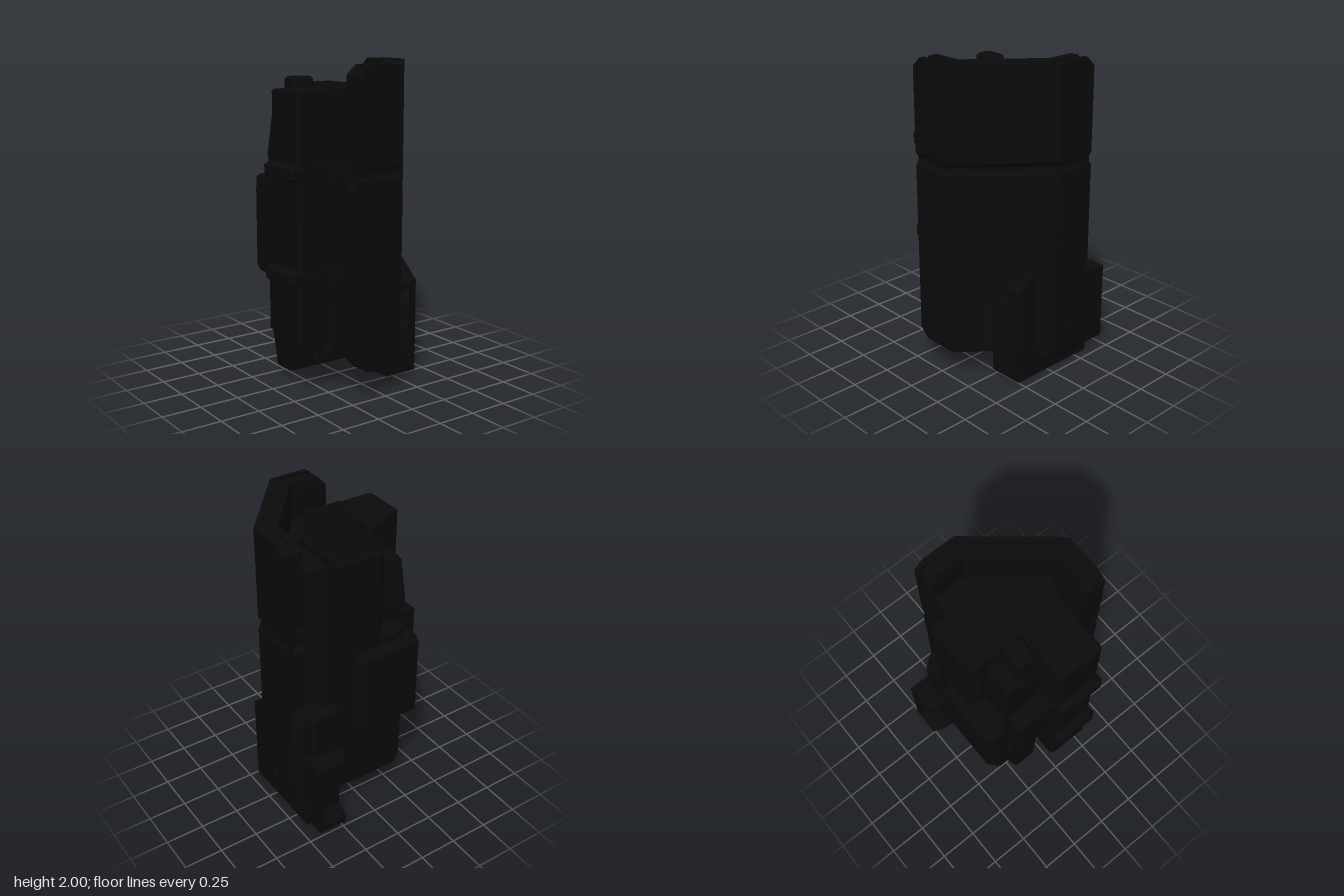
import * as THREE from 'three';

const black = new THREE.MeshStandardMaterial({ color: 0x0a0a0a });
black.name = 'matte black';

// Skin plan outlines [x, z] stacked at heights: levels = [[y, outline], ...]
function loft(name, levels) {
  const v2 = levels.map(([, pts]) => pts.map(([x, z]) => new THREE.Vector2(x, z)));
  if (THREE.ShapeUtils.isClockWise(v2[0])) v2.forEach((ring) => ring.reverse());
  const pos = [];
  const put = (k, i) => pos.push(v2[k][i].x, levels[k][0], v2[k][i].y);
  const n = v2[0].length, last = levels.length - 1;
  for (let k = 0; k < last; k++) {
    for (let i = 0; i < n; i++) {
      const j = (i + 1) % n;
      put(k, i); put(k + 1, j); put(k, j);
      put(k, i); put(k + 1, i); put(k + 1, j);
    }
  }
  for (const [a, b, c] of THREE.ShapeUtils.triangulateShape(v2[0], [])) { put(0, a); put(0, b); put(0, c); }
  for (const [a, b, c] of THREE.ShapeUtils.triangulateShape(v2[last], [])) { put(last, a); put(last, c); put(last, b); }
  const geo = new THREE.BufferGeometry();
  geo.setAttribute('position', new THREE.Float32BufferAttribute(pos, 3));
  geo.computeVertexNormals();
  return named(name, geo);
}

function named(name, geometry) {
  const mesh = new THREE.Mesh(geometry, black);
  mesh.name = name;
  return mesh;
}

// Shrink an outline towards its middle by b on every side
function shrink(pts, b) {
  const xs = pts.map((p) => p[0]), zs = pts.map((p) => p[1]);
  const x0 = Math.min(...xs), x1 = Math.max(...xs), z0 = Math.min(...zs), z1 = Math.max(...zs);
  const cx = (x0 + x1) / 2, cz = (z0 + z1) / 2;
  return pts.map(([x, z]) => [cx + (x - cx) * (1 - 2 * b / (x1 - x0)), cz + (z - cz) * (1 - 2 * b / (z1 - z0))]);
}

// Upright prism, bevelled by b at top and bottom
function prism(name, pts, y0, y1, b = 0.015) {
  if (!b) return loft(name, [[y0, pts], [y1, pts]]);
  const s = shrink(pts, b);
  return loft(name, [[y0, s], [y0 + b, pts], [y1 - b, pts], [y1, s]]);
}

// Rectangle outline with cut corners
const rect = (x0, x1, z0, z1, c = 0.02) => [
  [x0 + c, z0], [x1 - c, z0], [x1, z0 + c], [x1, z1 - c],
  [x1 - c, z1], [x0 + c, z1], [x0, z1 - c], [x0, z0 + c]];
const block = (name, x0, x1, y0, y1, z0, z1, c = 0.02, b = 0.015) => prism(name, rect(x0, x1, z0, z1, c), y0, y1, b);

// Folded armour outline between depths t0 and t1, ends drawn in by e
function fold(t0, t1, e) {
  const line = (t) => [[-0.27 + e, -0.51 + t], [0.012 - 0.359 * t, -0.51 + t], [0.497 - t, -0.11 + 0.471 * t], [0.497 - t, 0.2 - e]];
  return [...line(t0), ...line(t1).reverse()];
}

// Left and right limits of an outline at depth z
function span(pts, z) {
  const hits = [];
  pts.forEach(([x0, z0], i) => {
    const [x1, z1] = pts[(i + 1) % pts.length];
    if ((z0 - z) * (z1 - z) < 0) hits.push(x0 + (x1 - x0) * (z - z0) / (z1 - z0));
  });
  return [Math.min(...hits), Math.max(...hits)];
}

const vectors = (pts) => pts.map((p) => new THREE.Vector2(...p));

export function createModel() {
  const model = new THREE.Group();
  model.name = 'armouredCase';
  const add = (...parts) => model.add(...parts);

  // Folded armour shell: outer skin with a waist groove, then two inner layers
  add(loft('outerArmour', [
    [0.18, fold(0, 0.035, 0.06)], [0.24, fold(0, 0.035, 0)], [1.335, fold(0, 0.035, 0)],
    [1.36, fold(0.018, 0.035, 0)], [1.39, fold(0.018, 0.035, 0)], [1.415, fold(0, 0.035, 0)],
    [1.94, fold(0, 0.035, 0)], [2, fold(0, 0.035, 0.06)]]));
  add(loft('middleArmour', [
    [0.19, fold(0.035, 0.078, 0.07)], [0.25, fold(0.035, 0.078, 0.018)],
    [1.93, fold(0.035, 0.078, 0.018)], [1.985, fold(0.035, 0.078, 0.07)]]));
  for (const [y0, y1] of [[0.18, 1.34], [1.41, 2]]) {
    add(loft('innerArmour', [
      [y0, fold(0.075, 0.13, 0.06)], [y0 + 0.06, fold(0.075, 0.14, 0.002)],
      [y1 - 0.06, fold(0.075, 0.14, 0.002)], [y1, fold(0.075, 0.13, 0.06)]]));
  }
  add(loft('innerArmourBridge', [[1.33, fold(0.075, 0.125, 0.02)], [1.42, fold(0.075, 0.125, 0.02)]]));

  // Core column joined to the shell
  const core = [[-0.395, -0.21], [0.02, -0.215], [0.27, -0.02], [0.27, 0.24], [0.23, 0.28], [0, 0.28],
    [-0.04, 0.23], [-0.12, 0.13], [-0.34, 0.13], [-0.395, 0.07]];
  add(prism('core', core, 0.24, 1.83, 0));
  add(prism('corePadding', [[-0.25, -0.38], [-0.06, -0.38], [0.35, -0.05], [0.35, -0.03], [0.28, 0.15], [0, 0.2], [-0.3, 0]], 0.22, 1.8));

  // Slatted vent inside a rim on top of the core
  const vent = shrink(core, 0.022);
  const flip = ([x, z]) => [x, -z];
  const rimShape = new THREE.Shape(vectors(core.map(flip).reverse()));
  rimShape.holes.push(new THREE.Path(vectors(vent.map(flip))));
  const rim = named('ventRim', new THREE.ExtrudeGeometry(rimShape, { depth: 0.025, bevelEnabled: false }).rotateX(-Math.PI / 2));
  rim.position.y = 1.825;
  add(rim);
  for (let i = 0; i < 15; i++) {
    const z = -0.175 + i * 0.03, [x0, x1] = span(vent, z);
    const slat = named('ventSlat', new THREE.BoxGeometry(x1 - x0, 0.024, 0.017));
    slat.position.set((x0 + x1) / 2, 1.836, z);
    add(slat);
  }

  // Tall front column with two clasps
  add(block('frontColumn', -0.03, 0.265, 0.335, 1.85, 0.22, 0.47, 0.02, 0.008));
  for (const y of [0.75, 1.38]) {
    add(block('clasp', -0.04, 0.27, y - 0.05, y + 0.05, 0.25, 0.523, 0.02, 0.02));
    add(prism('claspHinge', [[0.24, 0.25], [0.272, 0.25], [0.285, 0.15], [0.357, -0.03], [0.24, -0.03]], y - 0.045, y + 0.045, 0));
  }

  // Front equipment on the model's right
  add(block('rearFiller', -0.39, -0.02, 0.24, 1.3, 0.05, 0.3, 0.05, 0.03));
  add(loft('upperPouch', [
    [1.28, rect(-0.3, -0.04, 0.08, 0.31, 0.006)], [1.42, rect(-0.315, -0.04, 0.08, 0.322, 0.006)],
    [1.68, rect(-0.275, -0.05, 0.1, 0.31, 0.006)], [1.705, rect(-0.26, -0.07, 0.12, 0.29, 0.006)]]));
  add(block('topPost', -0.18, -0.055, 1.4, 1.91, 0.13, 0.29, 0.025));
  add(block('frontPouch', -0.28, 0.005, 0.87, 1.31, 0.2, 0.425, 0.004));
  add(block('pouchTab', -0.2, -0.085, 0.67, 0.87, 0.25, 0.39));
  add(loft('lowerMagazine', [
    [0.06, rect(-0.22, -0.06, -0.05, 0.325, 0.006)], [0.34, rect(-0.285, -0.045, -0.05, 0.325, 0.006)],
    [0.62, rect(-0.28, -0.04, 0, 0.325, 0.006)], [0.68, rect(-0.25, -0.05, 0.02, 0.3, 0.006)]]));
  add(block('magazineBracket', -0.1, 0.045, 0.1, 0.36, -0.05, 0.2, 0.01));

  // Side pack with sloping ends
  const pack = (x, e) => [[x, -0.085 + e], [-0.395, -0.115 + e], [-0.32, -0.115 + e], [-0.32, 0.35 - e], [-0.4, 0.35 - e], [x, 0.32 - e]];
  add(loft('sidePack', [[0.65, pack(-0.4, 0.02)], [0.68, pack(-0.46, 0)], [1.19, pack(-0.46, 0)], [1.22, pack(-0.4, 0.02)]]));
  add(block('sideRail', -0.395, -0.33, 0.22, 0.64, -0.12, 0.24));

  // Foot below the shell and its back plate
  add(block('foot', -0.36, 0.25, 0, 0.3, -0.435, -0.2, 0.002, 0));
  const plate = (z, inset) => [[-0.345 + inset, -0.435], [-0.29, z], [0.04, z], [0.06, -0.435], [0.06, -0.3], [-0.345 + inset, -0.3]];
  add(loft('footBackPlate', [[0.06, plate(-0.44, 0)], [0.11, plate(-0.475, 0)], [0.8, plate(-0.475, 0)], [0.87, plate(-0.44, 0.02)]]));
  add(block('footSideRib', -0.39, -0.3, 0.05, 0.86, -0.4, -0.2, 0.01));

  // Side bracket: back wall with a lid and a floor
  const shelf = [[-0.515, -0.435], [-0.34, -0.435], [-0.34, -0.21], [-0.42, -0.21], [-0.515, -0.24]];
  add(prism('bracketLid', shelf, 0.51, 0.56, 0));
  add(prism('bracketFloor', shelf, 0.05, 0.09, 0));
  add(block('bracketWall', -0.515, -0.34, 0.06, 0.55, -0.435, -0.4, 0.002, 0));

  // Slope-topped fin rising from the foot through the diagonal face
  const finShape = new THREE.Shape(vectors([[0.05, 0.1], [0.25, 0.1], [0.25, 0.61], [0.1, 0.74], [0.05, 0.74]]));
  const fin = named('footFin', new THREE.ExtrudeGeometry(finShape, { depth: 0.15, bevelEnabled: false }));
  fin.position.z = -0.435;
  add(fin);

  // Cooling panel and bars lying on the diagonal face
  const diagonal = new THREE.Group();
  diagonal.name = 'diagonalDetail';
  diagonal.position.set(0.012, 0, -0.51);
  diagonal.rotation.y = -Math.atan2(0.4, 0.485);
  const panelShape = new THREE.Shape(vectors([[0.24, 0.19], [0.39, 0.19], [0.39, 0.51], [0.33, 0.56], [0.24, 0.56]]));
  const panel = named('coolingPanel', new THREE.ExtrudeGeometry(panelShape, { depth: 0.07, bevelEnabled: false }));
  panel.position.z = -0.05;
  diagonal.add(panel);
  for (let i = 0; i < 7; i++) {
    const bar = named('coolingBar', new THREE.BoxGeometry(0.1, 0.024, 0.06));
    bar.position.set(0.415, 0.26 + i * 0.042, -0.006);
    diagonal.add(bar);
  }
  add(diagonal);

  // Bolts on the shell
  for (const [x, y, z, alongX] of [[-0.12, 0.3, -0.51, false], [0.496, 1.865, 0.03, true]]) {
    const bolt = named('bolt', new THREE.CylinderGeometry(0.022, 0.025, 0.03, 12));
    bolt.position.set(x, y, z);
    if (alongX) bolt.rotation.z = -Math.PI / 2;
    else bolt.rotation.x = -Math.PI / 2;
    add(bolt);
  }

  return model;
}
